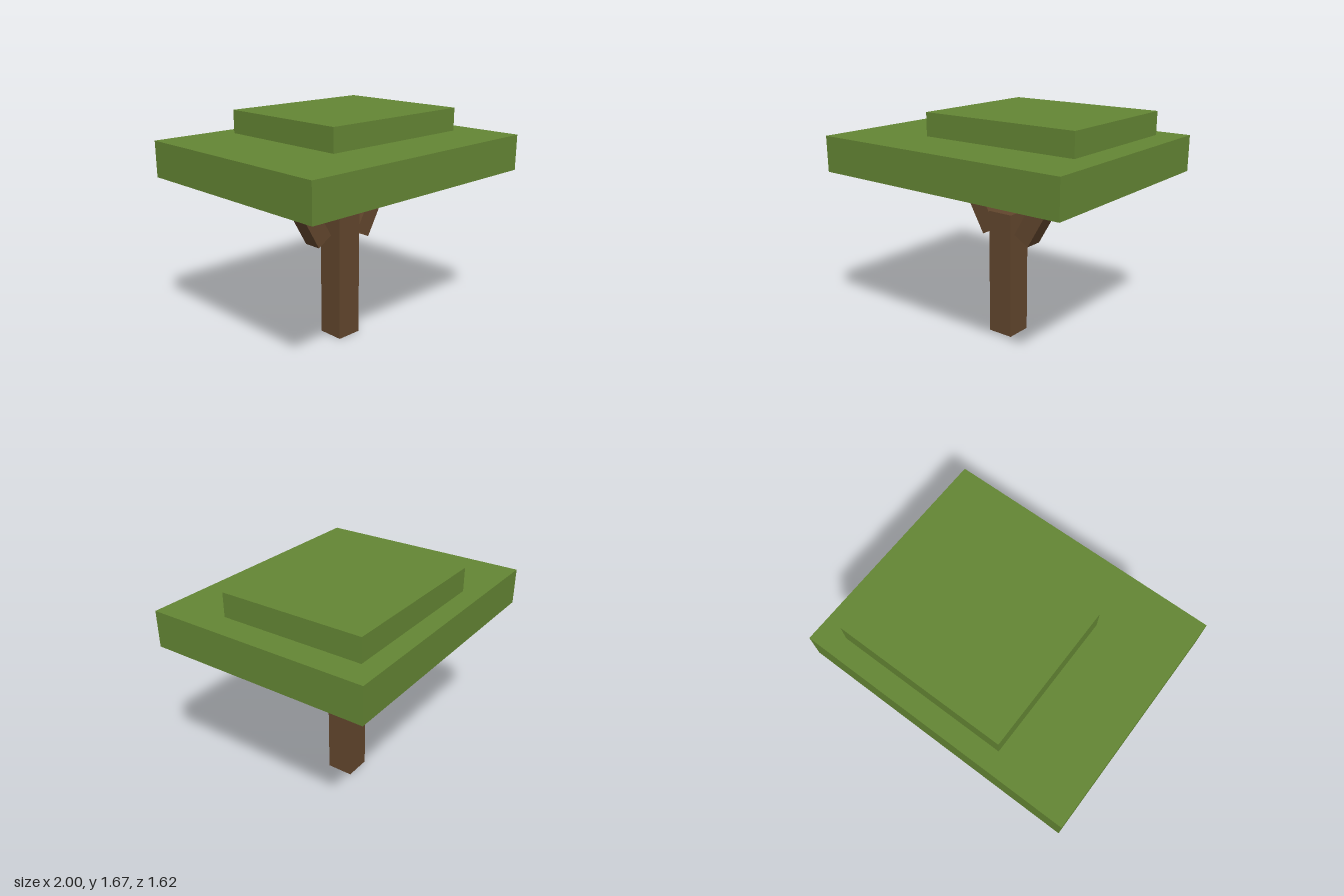
import * as THREE from 'three';

// Box without its underside, placed by its centre
function openBox(name, material, size, position, tilt = 0) {
  const geometry = new THREE.BoxGeometry(...size);
  const index = Array.from(geometry.index.array);
  index.splice(18, 6); // the -y face
  geometry.setIndex(index);
  geometry.clearGroups();
  const mesh = new THREE.Mesh(geometry, material);
  mesh.name = name;
  mesh.position.set(...position);
  mesh.rotation.z = tilt;
  return mesh;
}

export function createModel() {
  const bark = new THREE.MeshStandardMaterial({ color: 0x62462d, side: THREE.DoubleSide });
  bark.name = 'bark brown';
  const leaf = new THREE.MeshStandardMaterial({ color: 0x648634, side: THREE.DoubleSide });
  leaf.name = 'leaf green';

  const tree = new THREE.Group();
  tree.name = 'tree';

  // Trunk
  tree.add(openBox('trunk', bark, [0.2, 0.95, 0.2], [0, 0.475, 0]));

  // Branches leaning outwards; the right one sits a little further back
  for (const [name, side, z] of [['leftBranch', 1, 0], ['rightBranch', -1, -0.05]]) {
    tree.add(openBox(name, bark, [0.138, 0.66, 0.138], [side * 0.334, 1.051, z], -side * Math.PI / 6));
  }

  // Canopy: a wide slab with a smaller, off-centre slab on top
  tree.add(openBox('lowerCanopy', leaf, [2, 0.26, 1.62], [0, 1.37, 0]));
  tree.add(openBox('upperCanopy', leaf, [1.236, 0.185, 1.05], [0.19, 1.5775, -0.143]));

  return tree;
}
